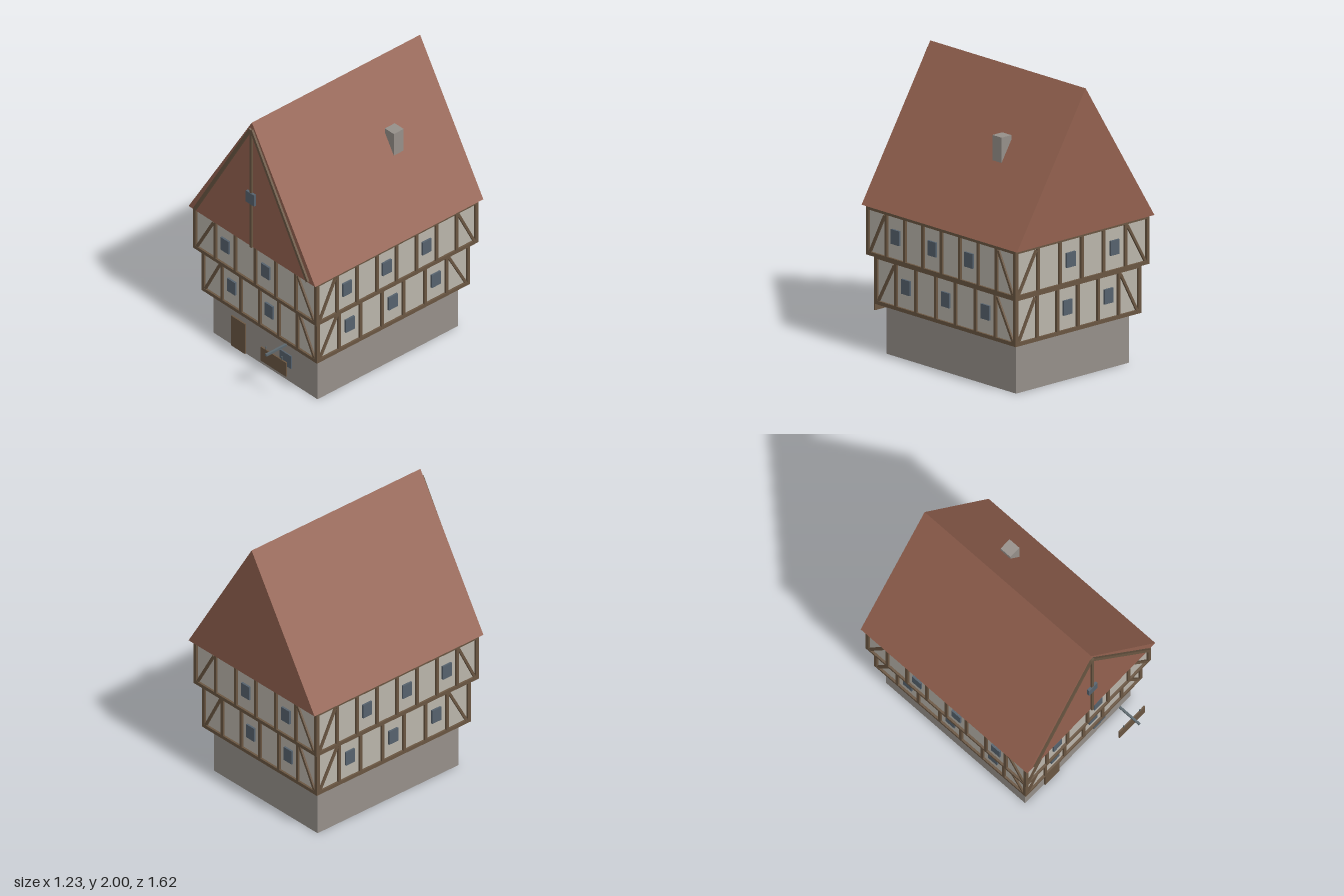
import * as THREE from 'three';

const material = (name, color) => {
  const m = new THREE.MeshStandardMaterial({ color });
  m.name = name;
  return m;
};

export function createModel() {
  const stone = material('stone', 0x96908a);
  const plaster = material('plaster', 0xbab5ab);
  const timber = material('timber', 0x6a5642);
  const roofTile = material('roof tile', 0x93614f);
  const glass = material('window glass', 0x56626d);
  const iron = material('iron', 0x5c686e);

  const house = new THREE.Group();
  house.name = 'timberFramedHouse';
  const midZ = -0.07; // the building sits slightly behind the origin

  const box = (parent, name, mat, w, h, d, x, y, z) => {
    const mesh = new THREE.Mesh(new THREE.BoxGeometry(w, h, d), mat);
    mesh.name = name;
    mesh.position.set(x, y, z);
    parent.add(mesh);
    return mesh;
  };

  // A straight beam between two points in the xy plane
  const beam = (parent, name, x0, y0, x1, y1, width, depth, z) => {
    const length = Math.hypot(x1 - x0, y1 - y0);
    const mesh = box(parent, name, timber, width, length, depth, (x0 + x1) / 2, (y0 + y1) / 2, z);
    mesh.rotation.z = Math.atan2(y1 - y0, x1 - x0) - Math.PI / 2;
    return mesh;
  };

  // Timber frame of one wall, outer face at local z = 0
  const relief = 0.015;
  const facade = (name, half, height, bays, flip) => {
    const wall = new THREE.Group();
    wall.name = name;
    const t = 0.025, z = -relief / 2;
    const inner = half - t / 2;
    const step = (2 * inner) / bays;
    for (const y of [t / 2, height - t / 2]) {
      box(wall, 'rail', timber, 2 * half, t, relief, 0, y, z);
    }
    for (let i = 0; i <= bays; i++) {
      const w = i === 0 || i === bays ? t : 0.022;
      box(wall, 'post', timber, w, height - 2 * t, relief, -inner + i * step, height / 2, z);
    }
    // Diagonal braces in the end bays
    for (const s of [-1, 1]) {
      beam(wall, 'brace', s * (half - 0.03), t - 0.005, s * (inner - step + 0.016), height - t - 0.01,
        0.018, relief - 0.002, z - 0.001);
    }
    // Windows in every second bay
    for (let i = 1; i < bays - 1; i += 2) {
      const x = (-inner + (i + 0.5) * step) * (flip ? -1 : 1);
      box(wall, 'window', glass, 0.078, 0.1, 0.014, x, height / 2 + 0.006, z);
    }
    return wall;
  };

  // One overhanging storey with four framed walls
  const storey = (name, y, height, halfX, halfZ, baysX, baysZ) => {
    const g = new THREE.Group();
    g.name = name;
    g.position.set(0, y, midZ);
    box(g, 'plasterWalls', plaster, 2 * (halfX - relief), height, 2 * (halfZ - relief), 0, height / 2, 0);
    const sides = [
      ['frontWall', 0, halfZ, 0, halfX, baysX, false],
      ['backWall', 0, -halfZ, Math.PI, halfX, baysX, true],
      ['leftWall', halfX, 0, Math.PI / 2, halfZ, baysZ, false],
      ['rightWall', -halfX, 0, -Math.PI / 2, halfZ, baysZ, true],
    ];
    for (const [label, x, z, turn, half, bays, flip] of sides) {
      const wall = facade(label, half, height, bays, flip);
      wall.position.set(x, 0, z);
      wall.rotation.y = turn;
      g.add(wall);
    }
    house.add(g);
  };

  // Stone ground floor with door and window
  box(house, 'stoneBase', stone, 1.01, 0.34, 1.23, 0, 0.17, midZ);
  box(house, 'door', timber, 0.135, 0.237, 0.014, -0.257, 0.1185, 0.549);
  box(house, 'baseWindow', glass, 0.112, 0.1, 0.012, 0.2, 0.165, 0.549);

  storey('lowerStorey', 0.34, 0.335, 0.562, 0.672, 6, 7);
  storey('upperStorey', 0.675, 0.335, 0.6, 0.71, 6, 8);

  // Solid gabled roof
  const gable = new THREE.Shape();
  gable.moveTo(-0.615, 1.01);
  gable.lineTo(0.615, 1.01);
  gable.lineTo(0, 2);
  gable.closePath();
  const roof = new THREE.Mesh(
    new THREE.ExtrudeGeometry(gable, { depth: 1.475, bevelEnabled: false }), roofTile);
  roof.name = 'roof';
  roof.position.z = -0.81;
  house.add(roof);

  // Timbers and window on the front gable
  const gableFrame = new THREE.Group();
  gableFrame.name = 'gableFrame';
  house.add(gableFrame);
  for (const s of [-1, 1]) {
    beam(gableFrame, 'gableRafter', s * 0.549, 1.022, s * 0.004, 1.948, 0.022, 0.018, 0.671);
  }
  box(gableFrame, 'gablePost', timber, 0.02, 0.93, 0.016, 0, 1.475, 0.671);
  box(gableFrame, 'gableWindow', glass, 0.08, 0.088, 0.02, 0, 1.402, 0.673);

  // Chimney on the left slope
  box(house, 'chimney', stone, 0.087, 0.335, 0.087, 0.29, 1.4675, -0.322);

  // Hanging sign on its bracket
  const sign = new THREE.Group();
  sign.name = 'hangingSign';
  house.add(sign);
  box(sign, 'bracket', iron, 0.015, 0.015, 0.178, 0.302, 0.373, 0.726);
  box(sign, 'signBoard', timber, 0.245, 0.11, 0.01, 0.302, 0.29, 0.745);
  for (const s of [-1, 1]) {
    box(sign, 'hanger', iron, 0.006, 0.03, 0.006, 0.302 + s * 0.077, 0.357, 0.745);
  }

  return house;
}
